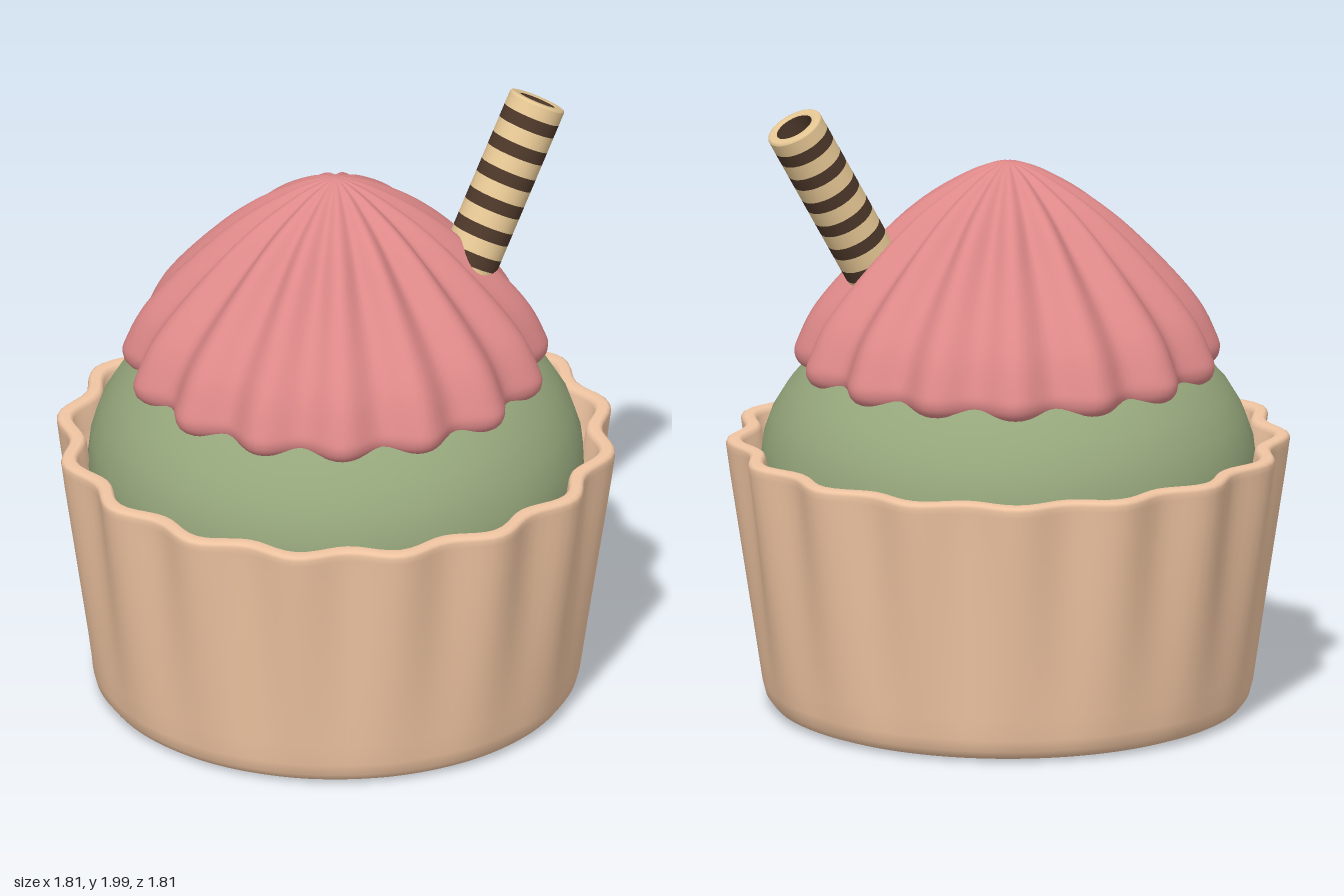
import * as THREE from 'three';
import { mergeVertices } from 'three/addons/utils/BufferGeometryUtils.js';

const paint = (color, side = THREE.FrontSide) => new THREE.MeshStandardMaterial({ color, side });

function addMesh(parent, name, geometry, material) {
  const mesh = new THREE.Mesh(geometry, material);
  mesh.name = name;
  parent.add(mesh);
  return mesh;
}

// Lathe whose radius ripples around the axis; amp(r, y) is the ripple depth.
function flutedLathe(profile, lobes, steps, amp, phase = 0) {
  const points = profile.map(([r, y]) => new THREE.Vector2(r, y));
  let geo = new THREE.LatheGeometry(points, lobes * steps);
  const p = geo.attributes.position;
  for (let i = 0; i < p.count; i++) {
    const x = p.getX(i), y = p.getY(i), z = p.getZ(i);
    const r = Math.hypot(x, z);
    if (r < 1e-5) continue;
    const s = 1 + amp(r, y) * Math.cos(lobes * Math.atan2(x, z) + phase) / r;
    p.setXYZ(i, x * s, y, z * s);
  }
  geo.deleteAttribute('normal');
  geo.deleteAttribute('uv');
  geo = mergeVertices(geo, 1e-5);
  geo.computeVertexNormals();
  return geo;
}

// Smooth curve through a few profile points
const smooth = (pts, n) => new THREE.SplineCurve(pts.map(([x, y]) => new THREE.Vector2(x, y)))
  .getPoints(n).map(v => [Math.max(v.x, 0), v.y]);

// Hollow striped wafer roll along -y from its open end at the origin
function waferRoll() {
  const roll = new THREE.Group();
  roll.name = 'waferRoll';
  const R = 0.094, hole = 0.062, pitch = 0.095, light = 0.052, count = 8;
  const tan = paint(0xe6c794), dark = paint(0x4c3729, THREE.DoubleSide);
  const band = (name, top, height, mat) => {
    const geo = new THREE.CylinderGeometry(R, R, height, 32, 1, true);
    addMesh(roll, name, geo, mat).position.y = -top - height / 2;
  };
  for (let i = 0; i < count; i++) {
    const inset = i === 0 ? 0.008 : 0;
    band('lightBand', i * pitch + inset, light - inset, tan);
    band('darkBand', i * pitch + light, pitch - light, dark);
  }
  const lip = [[R, -0.008], [R - 0.003, -0.002], [R - 0.008, 0], [hole + 0.004, 0], [hole, -0.004]];
  addMesh(roll, 'rollLip', new THREE.LatheGeometry(lip.map(a => new THREE.Vector2(...a)), 32), tan);
  const bore = new THREE.CylinderGeometry(hole, hole, 0.4, 32, 1, true);
  addMesh(roll, 'rollBore', bore, dark).position.y = -0.204;
  for (const [name, r, y] of [['boreFloor', hole, -0.4], ['rollEnd', R, -pitch * count]]) {
    const disc = addMesh(roll, name, new THREE.CircleGeometry(r, 32), dark);
    disc.rotation.x = -Math.PI / 2;
    disc.position.y = y;
  }
  return roll;
}

export function createModel() {
  const group = new THREE.Group();
  group.name = 'cupcake';

  // Fluted cup: round at the foot, rippled at the rim, with a wall thickness
  const cup = [[0, 0.006], [0.5, 0.006], [0.68, 0.006], [0.725, 0.01], [0.757, 0.022], [0.775, 0.045],
    [0.785, 0.085]];
  for (let i = 1; i <= 10; i++) cup.push([0.785 + 0.0093 * i, 0.085 + 0.077 * i]);
  cup.push([0.881, 0.875], [0.877, 0.885], [0.868, 0.89], [0.84, 0.89], [0.831, 0.885],
    [0.826, 0.872], [0.815, 0.8], [0.79, 0.6], [0, 0.6]);
  const cupAmp = (r, y) => (r < 0.7 ? 0 : 0.025 * Math.min(1, Math.max(0, y - 0.01) / 0.8));
  addMesh(group, 'cup', flutedLathe(cup, 16, 10, cupAmp), paint(0xf0c5a2));

  // Domed cake top
  const cake = addMesh(group, 'cake', new THREE.SphereGeometry(0.797, 40, 20), paint(0x95a67b));
  cake.scale.y = 0.69;
  cake.position.y = 0.8;

  // Pleated frosting, with a rounded lower edge
  const frosting = smooth([[0.45, 1.12], [0.58, 1.105], [0.632, 1.115], [0.655, 1.15], [0.645, 1.2],
    [0.585, 1.32], [0.455, 1.475], [0.28, 1.645], [0.14, 1.745], [0.05, 1.79], [0, 1.8]], 60);
  frosting[frosting.length - 1][0] = 0;
  const frostAmp = r => Math.min(0.031, 0.09 * r);
  addMesh(group, 'frosting', flutedLathe(frosting, 15, 12, frostAmp, Math.PI), paint(0xdf8989));

  // Wafer roll leaning out of the frosting
  const roll = waferRoll();
  const axis = new THREE.Vector3(0.255, 0.495, -0.115).normalize();
  roll.quaternion.setFromUnitVectors(new THREE.Vector3(0, 1, 0), axis);
  roll.position.set(0.692, 1.95, -0.1);
  group.add(roll);

  return group;
}
